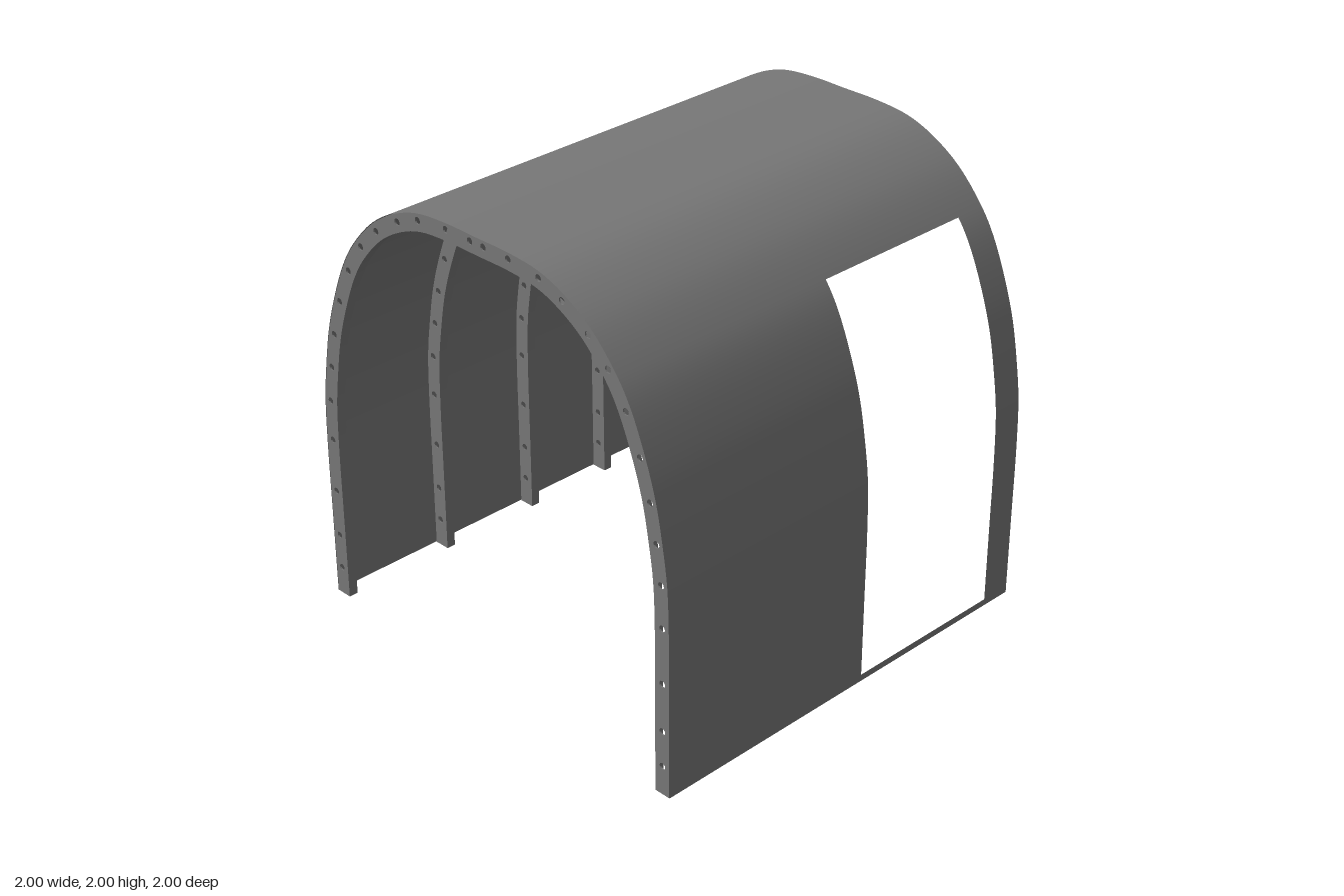
import * as THREE from 'three';

const STEPS = 4;                       // samples between neighbouring profile points
const SILL = 1, LINTEL = 9, CROWN = 14; // profile points at the doorway's ends and the top
const DOOR_Z = [-0.08, -0.855];
const RIB_DEPTH = 0.076, RIB_WIDTH = 0.042, SHEET = 0.006;

// Half of the arch, from the foot on the left side up to the crown
const half = [
  [1, 0], [1, 0.03], [1, 0.4], [1, 0.72], [0.992, 0.94], [0.968, 1.11], [0.935, 1.275],
  [0.882, 1.44], [0.811, 1.605], [0.743, 1.712], [0.612, 1.85], [0.47, 1.938],
  [0.338, 1.984], [0.175, 2], [0, 2],
];
// Bolt holes of one half, on the middle line of the rib
const bolts = [
  [0.962, 0.13], [0.962, 0.29], [0.962, 0.505], [0.962, 0.75], [0.957, 0.935],
  [0.934, 1.1], [0.902, 1.26], [0.852, 1.425], [0.782, 1.585], [0.693, 1.72],
  [0.591, 1.82], [0.458, 1.905], [0.335, 1.952], [0.173, 1.97], [0.037, 1.97],
];

const mirrored = half.slice(0, -1).reverse().map(([x, y]) => [-x, y]);
const control = [...half, ...mirrored].map(([x, y]) => new THREE.Vector3(x, y, 0));
const arch = new THREE.CatmullRomCurve3(control).getPoints((control.length - 1) * STEPS);
const inward = arch.map((p, i) => {
  const a = arch[Math.max(i - 1, 0)], b = arch[Math.min(i + 1, arch.length - 1)];
  return new THREE.Vector3(a.y - b.y, b.x - a.x, 0).normalize();
});

// The arch moved inwards by d, starting at sample index from
function inset(d, from) {
  return arch.map((p, i) => p.clone().addScaledVector(inward[i], d)).slice(from);
}

// Smooth sheet along the arch between z stations; skip(row, column) leaves openings
function sheet(points, normals, stations, skip = () => false) {
  const pos = [], nor = [], index = [], n = stations.length;
  points.forEach((p, i) => stations.forEach((z) => {
    pos.push(p.x, p.y, z);
    nor.push(-normals[i].x, -normals[i].y, 0);
  }));
  for (let i = 0; i < points.length - 1; i++) {
    for (let j = 0; j < n - 1; j++) {
      if (skip(i, j)) continue;
      const a = i * n + j, b = a + 1, c = a + n, d = c + 1;
      index.push(a, b, c, b, d, c);
    }
  }
  const g = new THREE.BufferGeometry();
  g.setAttribute('position', new THREE.Float32BufferAttribute(pos, 3));
  g.setAttribute('normal', new THREE.Float32BufferAttribute(nor, 3));
  g.setIndex(index);
  return g;
}

// Channel rib: perforated web with a flange along its outer and inner edge
function makeRib(name, zFront, webAtBack, rightHalfOnly, material) {
  const rib = new THREE.Group();
  rib.name = name;
  const from = rightHalfOnly ? CROWN * STEPS : 0;
  const outer = inset(0.003, from), inner = inset(RIB_DEPTH, from);

  const shape = new THREE.Shape(
    [...outer, ...inner.slice().reverse()].map((p) => new THREE.Vector2(p.x, p.y)));
  for (const side of rightHalfOnly ? [-1] : [1, -1]) {
    for (const [x, y] of bolts) {
      shape.holes.push(new THREE.Path().absarc(side * x, y, 0.015, 0, Math.PI * 2, true));
    }
  }
  const web = new THREE.Mesh(
    new THREE.ExtrudeGeometry(shape, { depth: SHEET, bevelEnabled: false, curveSegments: 6 }),
    material);
  web.name = 'perforatedWeb';
  web.position.z = webAtBack ? zFront - RIB_WIDTH : zFront - SHEET;
  rib.add(web);

  const normals = inward.slice(from);
  [['outerFlange', outer], ['innerFlange', inner]].forEach(([label, points]) => {
    const flange = new THREE.Mesh(
      sheet(points, normals, [zFront, zFront - RIB_WIDTH]), material);
    flange.name = label;
    rib.add(flange);
  });
  return rib;
}

export function createModel() {
  const model = new THREE.Group();
  model.name = 'archedShelter';
  const material = new THREE.MeshStandardMaterial({ color: 0x777777, side: THREE.DoubleSide });

  // Curved skin with the doorway left open above a narrow sill
  const inDoor = (i, j) => j === 1 && i >= SILL * STEPS && i < LINTEL * STEPS;
  const skin = new THREE.Mesh(sheet(arch, inward, [1, ...DOOR_Z, -1], inDoor), material);
  skin.name = 'skin';
  model.add(skin);

  // Five ribs; the fourth, in line with the doorway, runs only from the far foot to the crown
  [1, 0.46, -0.035, -0.479, -1 + RIB_WIDTH].forEach((z, i) => {
    model.add(makeRib(`rib${i + 1}`, z, i === 4, i === 3, material));
  });
  return model;
}
